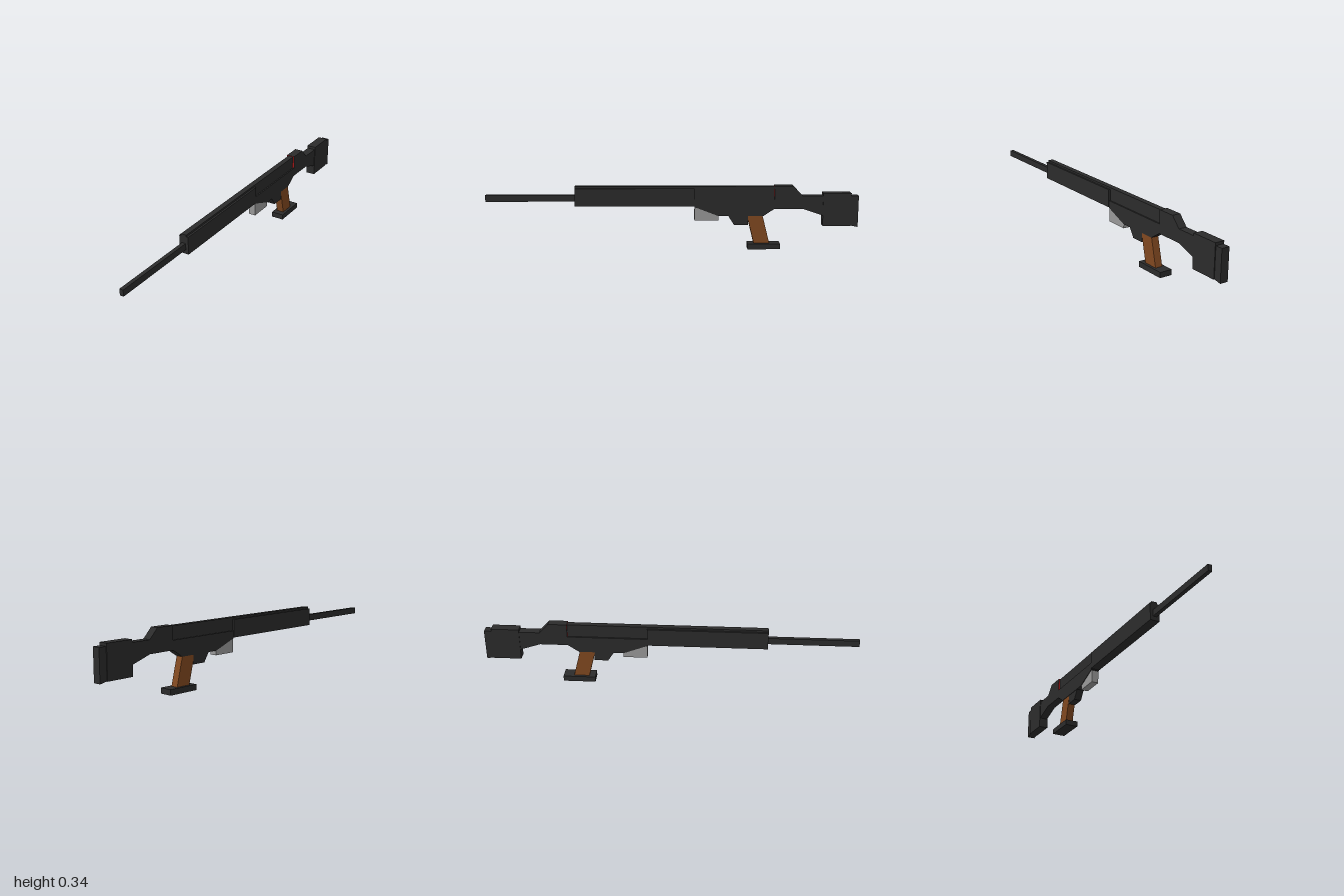
import * as THREE from 'three';

const metal = new THREE.MeshStandardMaterial({ color: 0x2b2b2b });
metal.name = 'dark metal';
const wood = new THREE.MeshStandardMaterial({ color: 0x804820 });
wood.name = 'brown wood';
const steel = new THREE.MeshStandardMaterial({ color: 0x999999 });
steel.name = 'grey steel';
const red = new THREE.MeshStandardMaterial({ color: 0xcc2020 });
red.name = 'red';

export function createModel() {
  const model = new THREE.Group();
  model.name = 'rifle';

  const add = (name, geometry, material) => {
    const mesh = new THREE.Mesh(geometry, material);
    mesh.name = name;
    model.add(mesh);
    return mesh;
  };

  // Box centred on x, given by its z and y ranges
  const box = (name, width, z0, z1, y0, y1, material = metal) =>
    add(name, new THREE.BoxGeometry(width, y1 - y0, z1 - z0), material)
      .position.set(0, (y0 + y1) / 2, (z0 + z1) / 2);

  // Side profile of [z, y] points, extruded across x
  const slab = (name, width, points, material = metal) => {
    const shape = new THREE.Shape(points.map(([z, y]) => new THREE.Vector2(z, y)));
    const geometry = new THREE.ExtrudeGeometry(shape, { depth: width, bevelEnabled: false });
    geometry.translate(0, 0, -width / 2).rotateY(-Math.PI / 2);
    return add(name, geometry, material);
  };

  // Front half
  box('barrel', 0.021, 0.5, 1, 0.257, 0.292);
  box('handguard', 0.052, -0.12, 0.52, 0.234, 0.33);
  box('topRail', 0.031, -0.55, 0.52, 0.26, 0.34);

  // Receiver, rear body and neck of the stock
  slab('lowerReceiver', 0.046, [
    [-0.12, 0.27], [-0.55, 0.27], [-0.55, 0.22], [-0.49, 0.18],
    [-0.25, 0.18], [-0.12, 0.23],
  ]);
  slab('rearReceiver', 0.046, [
    [-0.55, 0.343], [-0.65, 0.343], [-0.70, 0.29], [-0.82, 0.29],
    [-0.82, 0.18], [-0.70, 0.22], [-0.55, 0.22],
  ]);
  add('redFrontFace', new THREE.PlaneGeometry(0.046, 0.073), red)
    .position.set(0, 0.3065, -0.5495);

  // Shoulder stock
  box('stock', 0.052, -0.96, -0.81, 0.127, 0.305);
  slab('buttPad', 0.044, [
    [-0.95, 0.29], [-1, 0.29], [-1, 0.12], [-0.96, 0.128], [-0.95, 0.128],
  ]);

  // Parts below the receiver
  box('magazine', 0.04, -0.25, -0.121, 0.155, 0.225, steel);
  slab('triggerGuard', 0.041, [[-0.30, 0.185], [-0.41, 0.185], [-0.41, 0.13], [-0.335, 0.13]]);
  slab('grip', 0.041, [[-0.402, 0.19], [-0.485, 0.19], [-0.527, 0.025], [-0.443, 0.025]], wood);
  box('gripBase', 0.071, -0.583, -0.408, 0, 0.03);

  return model;
}
